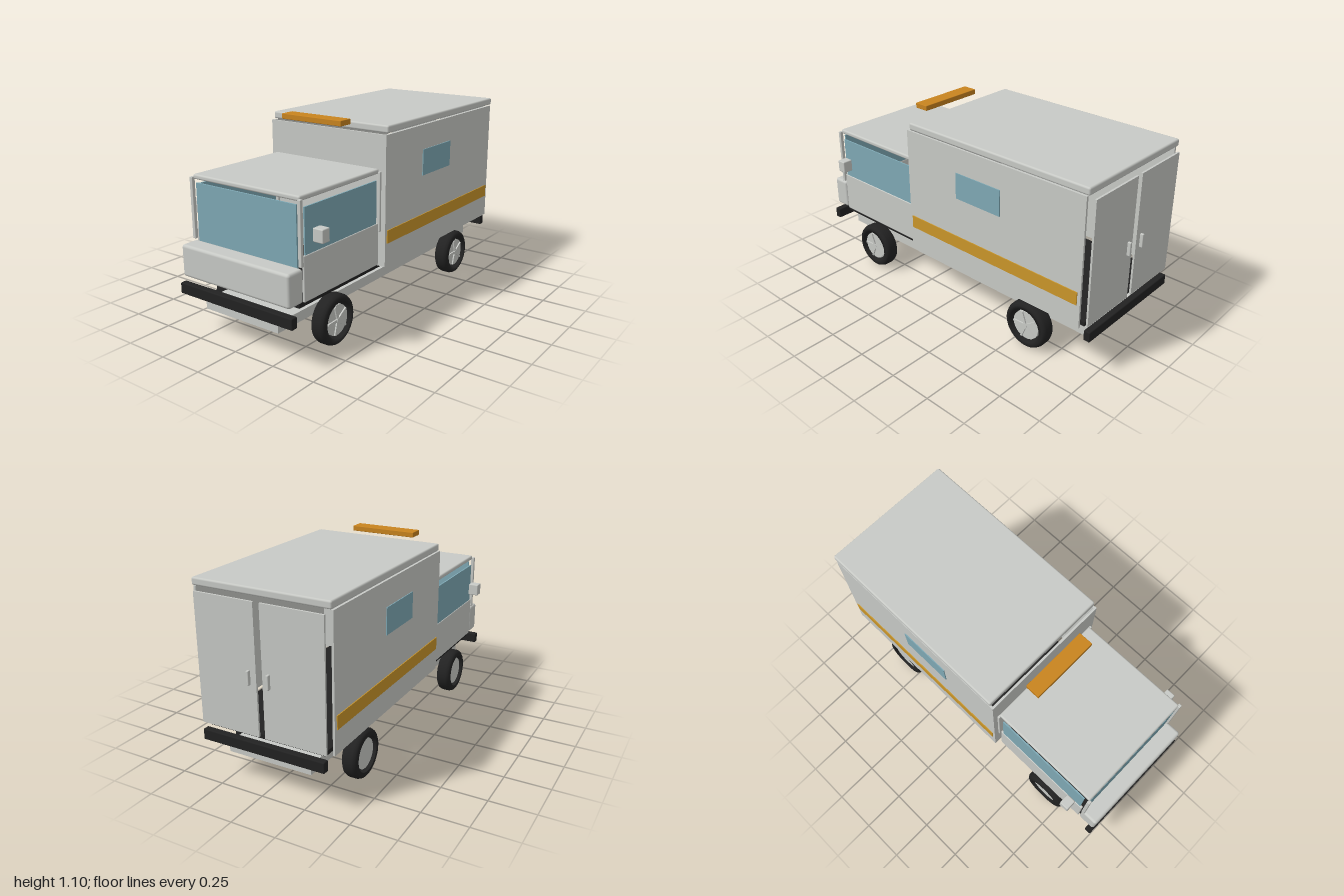
import * as THREE from 'three';
import { RoundedBoxGeometry } from 'three/addons/geometries/RoundedBoxGeometry.js';

const mat = (name, color, side = THREE.FrontSide) => {
  const m = new THREE.MeshStandardMaterial({ color, side });
  m.name = name;
  return m;
};

export function createModel() {
  const body = mat('bodyGrey', 0xc8cac6);
  const black = mat('black', 0x222222);
  const glass = mat('glassBlue', 0x7fa9b5);
  const amber = mat('lampAmber', 0xc9841f);
  const stripe = mat('stripeGold', 0xca962a);

  const truck = new THREE.Group();
  truck.name = 'boxTruck';

  const add = (name, geo, material, parent = truck) => {
    const mesh = new THREE.Mesh(geo, material);
    mesh.name = name;
    parent.add(mesh);
    return mesh;
  };
  // Box given by its limits on each axis, with an optional rounded edge
  const block = (name, m, [x0, x1], [y0, y1], [z0, z1], r = 0) => {
    const w = x1 - x0, h = y1 - y0, d = z1 - z0;
    const geo = r ? new RoundedBoxGeometry(w, h, d, 2, r) : new THREE.BoxGeometry(w, h, d);
    add(name, geo, m).position.set((x0 + x1) / 2, (y0 + y1) / 2, (z0 + z1) / 2);
  };
  // The same box on both sides of the truck
  const pair = (name, m, [x0, x1], y, z, r) => {
    block(name + 'Left', m, [x0, x1], y, z, r);
    block(name + 'Right', m, [-x1, -x0], y, z, r);
  };

  // Underside
  block('chassis', body, [-0.245, 0.245], [0.155, 0.21], [-0.925, 0.95]);
  block('floor', black, [-0.34, 0.34], [0.292, 0.315], [-0.94, 0.9]);
  block('frontBumper', black, [-0.378, 0.378], [0.225, 0.285], [0.96, 1], 0.006);
  block('rearBumper', black, [-0.358, 0.358], [0.225, 0.285], [-0.988, -0.95], 0.006);

  // Cargo box, open behind the rear doors
  pair('cargoWall', body, [0.378, 0.39], [0.307, 1.027], [-0.94, 0.248]);
  block('cargoFrontWall', body, [-0.378, 0.378], [0.307, 1.027], [0.236, 0.248]);
  block('cargoRoof', body, [-0.39, 0.39], [1.032, 1.073], [-0.955, 0.23], 0.01);
  pair('cargoWindow', glass, [0.389, 0.395], [0.74, 0.888], [-0.425, -0.12]);
  pair('cargoStripe', stripe, [0.389, 0.395], [0.437, 0.51], [-0.922, 0.232]);
  pair('rearDoor', body, [0.018, 0.364], [0.318, 1.012], [-0.976, -0.965]);
  pair('rearDoorHandle', body, [0.05, 0.064], [0.59, 0.668], [-0.995, -0.975], 0.004);
  block('beacon', amber, [-0.198, 0.198], [1.07, 1.1], [0.295, 0.38], 0.003);

  // Cab
  block('cabRoof', body, [-0.352, 0.352], [0.82, 0.847], [0.252, 0.897], 0.01);
  block('windscreen', glass, [-0.33, 0.33], [0.49, 0.804], [0.888, 0.897]);
  block('nose', body, [-0.36, 0.36], [0.322, 0.496], [0.888, 0.994], 0.016);
  pair('cabDoor', body, [0.345, 0.36], [0.32, 0.555], [0.267, 0.882], 0.005);
  pair('cabWindow', glass, [0.348, 0.356], [0.55, 0.79], [0.283, 0.868]);
  pair('frontPillar', body, [0.345, 0.365], [0.505, 0.833], [0.889, 0.908], 0.003);
  pair('rearPillar', body, [0.345, 0.365], [0.505, 0.833], [0.25, 0.264], 0.003);
  pair('mirror', body, [0.377, 0.438], [0.617, 0.687], [0.783, 0.838], 0.006);

  // Wheels: tyre ring profile turned about the axle, closed at the inner bore
  const tyreProfile = [
    [0.098, -0.043], [0.118, -0.043], [0.129, -0.035], [0.135, -0.02],
    [0.135, 0.02], [0.129, 0.035], [0.118, 0.043], [0.098, 0.043], [0.098, -0.043],
  ].map(([r, y]) => new THREE.Vector2(r, y));
  const tyreGeo = new THREE.LatheGeometry(tyreProfile, 40).rotateZ(-Math.PI / 2);
  const discGeo = new THREE.CylinderGeometry(0.083, 0.083, 0.06, 32).rotateZ(-Math.PI / 2);
  const hubGeo = new THREE.CylinderGeometry(0.015, 0.015, 0.012, 16).rotateZ(-Math.PI / 2);
  // Tapered spoke
  const spokeShape = new THREE.Shape([
    new THREE.Vector2(-0.009, 0), new THREE.Vector2(0.009, 0),
    new THREE.Vector2(0.005, 0.08), new THREE.Vector2(-0.005, 0.08),
  ]);
  const spokeGeo = new THREE.ExtrudeGeometry(spokeShape, { depth: 0.008, bevelEnabled: false })
    .rotateY(Math.PI / 2);

  for (const [end, z] of [['front', 0.635], ['rear', -0.59]]) {
    for (const [side, x] of [['Left', 0.334], ['Right', -0.334]]) {
      const wheel = new THREE.Group();
      wheel.name = `${end}Wheel${side}`;
      wheel.position.set(x, 0.139, z);
      add('tyre', tyreGeo, black, wheel);
      add('rimDisc', discGeo, body, wheel);
      add('hub', hubGeo, body, wheel).position.x = 0.034;
      for (let i = 0; i < 5; i++) {
        const spoke = add('spoke', spokeGeo, body, wheel);
        spoke.position.x = 0.03;
        spoke.rotation.x = (i * 2 * Math.PI) / 5 + 0.3;
      }
      truck.add(wheel);
    }
  }
  return truck;
}
